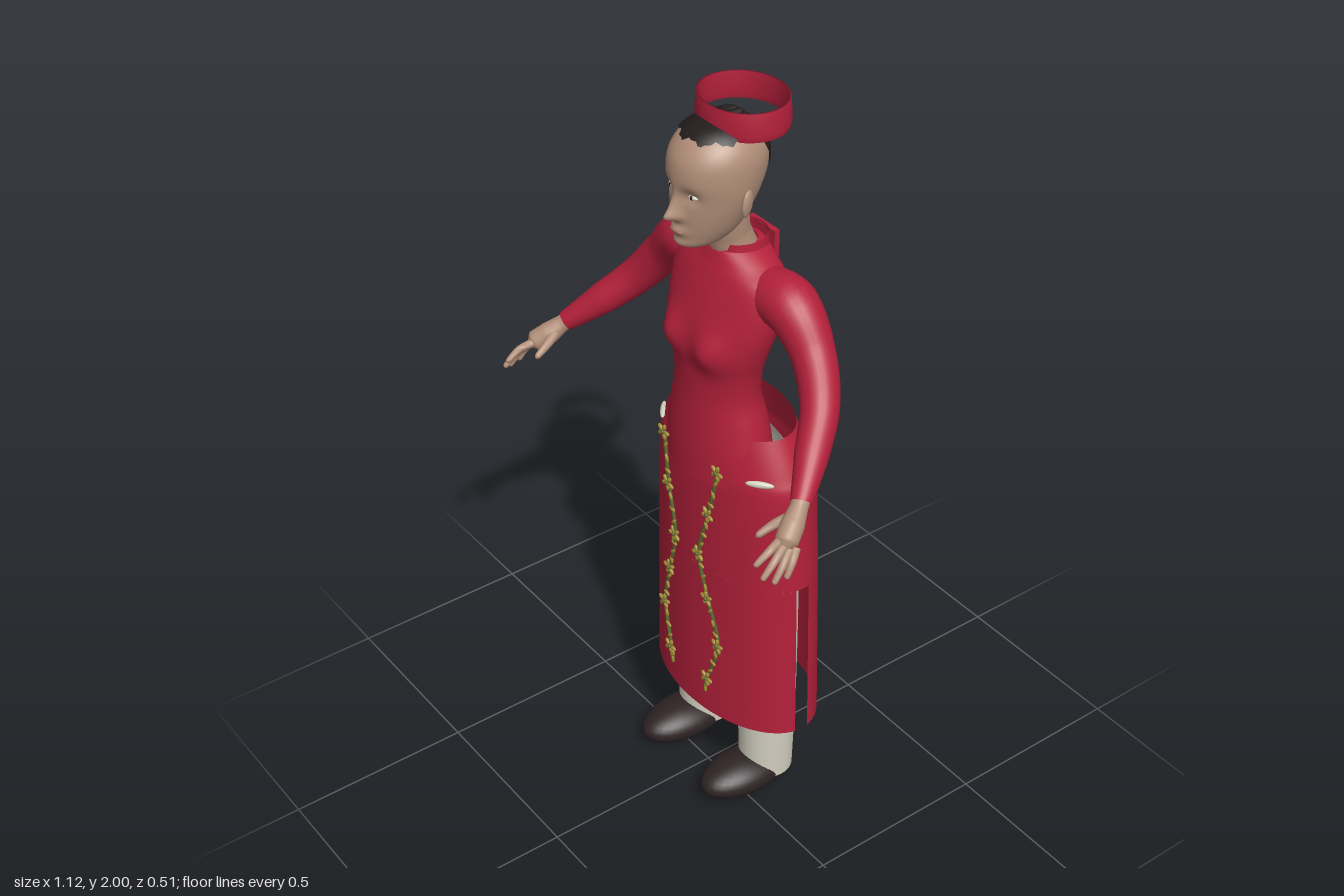
import * as THREE from 'three';

const paint = (name, color, side = THREE.FrontSide) => {
  const m = new THREE.MeshStandardMaterial({ color, side });
  m.name = name;
  return m;
};

// Surface grid: f(u, v) -> Vector3, u runs counter-clockwise seen from above, v runs up
function grid(nu, nv, f, closed = true) {
  const pos = [], idx = [], cols = closed ? nu : nu + 1;
  for (let j = 0; j <= nv; j++)
    for (let i = 0; i < cols; i++) pos.push(...f(i / nu, j / nv).toArray());
  for (let j = 0; j < nv; j++)
    for (let i = 0; i < nu; i++) {
      const a = j * cols + i, b = j * cols + (i + 1) % cols;
      idx.push(a, b, b + cols, a, b + cols, a + cols);
    }
  const g = new THREE.BufferGeometry();
  g.setAttribute('position', new THREE.Float32BufferAttribute(pos, 3));
  g.setIndex(idx);
  g.computeVertexNormals();
  return g;
}

// Point on a stack of oval sections [y, half width, front z, back z]
function ovalPoint(rows, t, a, grow = 0) {
  const n = rows.length - 1, i = Math.min(Math.floor(t), n - 1), k = t - i;
  const at = (c) => {
    const p = [i - 1, i, i + 1, i + 2].map((q) => rows[THREE.MathUtils.clamp(q, 0, n)][c]);
    const m0 = (p[2] - p[0]) / 2, m1 = (p[3] - p[1]) / 2, d = p[2] - p[1];
    return p[1] + m0 * k + (3 * d - 2 * m0 - m1) * k * k + (m0 + m1 - 2 * d) * k ** 3;
  };
  const zf = at(2), zb = at(3);
  return new THREE.Vector3((at(1) + grow) * Math.sin(a), at(0) + grow,
    (zf + zb) / 2 + ((zf - zb) / 2 + grow) * Math.cos(a));
}
const loft = (rows, nu = 40, nv = 30, bump = null) => grid(nu, nv, (u, v) => {
  const p = ovalPoint(rows, v * (rows.length - 1), u * Math.PI * 2);
  if (bump) p.z += bump(p, Math.max(0, Math.cos(u * Math.PI * 2)));
  return p;
});

// Round limb through points [x, y, z, radius]
function limb(pts, nu = 16, nv = 24) {
  const curve = new THREE.CatmullRomCurve3(pts.map((p) => new THREE.Vector3(p[0], p[1], p[2])));
  const ref = new THREE.Vector3(0, 0, 1);
  return grid(nu, nv, (u, v) => {
    const k = v * (pts.length - 1), i = Math.min(Math.floor(k), pts.length - 2);
    const r = THREE.MathUtils.lerp(pts[i][3], pts[i + 1][3], k - i), a = u * Math.PI * 2;
    const T = curve.getTangent(v), N = ref.clone().cross(T).normalize(), B = T.clone().cross(N);
    return curve.getPoint(v).addScaledVector(N, r * Math.cos(a)).addScaledVector(B, r * Math.sin(a));
  });
}
const gauss = (d, s) => Math.exp(-(d * d) / (s * s));

const HEAD = [[1.66, 0.012, 0.06, 0.02], [1.672, 0.045, 0.084, -0.03], [1.7, 0.068, 0.088, -0.075],
  [1.74, 0.086, 0.09, -0.1], [1.79, 0.101, 0.09, -0.125], [1.84, 0.107, 0.098, -0.145],
  [1.885, 0.105, 0.092, -0.146], [1.92, 0.09, 0.07, -0.13], [1.945, 0.062, 0.038, -0.1],
  [1.958, 0.028, 0.0, -0.06], [1.96, 0.001, -0.029, -0.031]];
const TORSO = [[1.02, 0.165, 0.073, -0.14], [1.1, 0.164, 0.071, -0.14], [1.18, 0.148, 0.065, -0.13],
  [1.25, 0.132, 0.06, -0.115], [1.32, 0.138, 0.06, -0.115], [1.38, 0.155, 0.064, -0.125],
  [1.45, 0.175, 0.052, -0.14], [1.52, 0.185, 0.03, -0.155], [1.57, 0.175, 0.01, -0.16],
  [1.6, 0.125, -0.003, -0.158], [1.625, 0.078, -0.012, -0.15], [1.635, 0.055, -0.02, -0.13]];
const SKIRT_TOP = [[0.74, 0.271, 0.06, -0.246], [0.9, 0.264, 0.058, -0.241], [1.02, 0.258, 0.054, -0.236],
  [1.07, 0.238, 0.047, -0.225], [1.16, 0.19, 0.033, -0.2]];
const SKIRT_LOW = [[0.27, 0.28, 0.065, -0.256], SKIRT_TOP[0]];

export function createModel() {
  const model = new THREE.Group();
  const red = paint('red cloth', 0xb3203a, THREE.DoubleSide), skin = paint('skin', 0xb18e78);
  const hair = paint('dark hair', 0x221c1b, THREE.DoubleSide), leather = paint('shoe leather', 0x2e2324);
  const cream = paint('cream cloth', 0xd3cfc0, THREE.DoubleSide), gold = paint('gold thread', 0xa08a35);
  const green = paint('green thread', 0x5c6430), lip = paint('lips', 0x9a6a5e);
  const add = (name, geo, mat, pos = [0, 0, 0], scale = [1, 1, 1], rot = [0, 0, 0]) => {
    const m = new THREE.Mesh(geo, mat);
    m.name = name;
    m.position.set(...pos);
    m.scale.set(...scale);
    m.rotation.set(...rot);
    model.add(m);
    return m;
  };
  const ball = new THREE.SphereGeometry(1, 24, 16);

  // Head with nose, brow, eye sockets and lips raised from the surface
  add('head', loft(HEAD, 96, 90, (p, front) => front * (
    0.03 * gauss(p.x, 0.014) * (p.y < 1.752 ? gauss(p.y - 1.752, 0.013) : gauss(p.y - 1.752, 0.045))
    + 0.008 * gauss(p.x, 0.024) * gauss(p.y - 1.752, 0.012)
    - 0.012 * gauss(Math.abs(p.x) - 0.04, 0.022) * gauss(p.y - 1.806, 0.018)
    + 0.011 * gauss(p.x, 0.026) * gauss(p.y - 1.711, 0.012)
    + 0.005 * gauss(p.x, 0.03) * gauss(p.y - 1.677, 0.012))), skin);
  add('neck', limb([[0, 1.59, -0.08, 0.06], [0, 1.66, -0.058, 0.053], [0, 1.76, -0.04, 0.06]]), skin);
  add('mouth', ball, lip, [0, 1.71, 0.093], [0.022, 0.006, 0.007]);

  // Hair cap with a ragged hairline, lowest at the back
  add('hairCap', grid(72, 12, (u, v) => {
    const a = u * Math.PI * 2, back = THREE.MathUtils.smoothstep(-Math.cos(a), 0.45, 0.75);
    const start = 7.35 - 2.3 * back + 0.14 * Math.sin(a * 9) + 0.08 * Math.sin(a * 23);
    return ovalPoint(HEAD, THREE.MathUtils.lerp(start, 10, v), a, 0.004);
  }), hair);
  for (let i = -3; i <= 3; i++)
    add('hairRoll', new THREE.CapsuleGeometry(0.011, 0.06, 4, 10), hair,
      [i * 0.022, 1.955 - 0.0025 * i * i, -0.055], [1, 1, 1], [Math.PI / 2, 0, 0]);

  // Open ring hat
  add('hatBand', new THREE.LatheGeometry([[0.116, 1.93], [0.12, 1.945], [0.117, 2], [0.11, 2], [0.112, 1.945],
    [0.116, 1.93]].map((p) => new THREE.Vector2(...p)), 48), red, [0, 0, -0.098], [1, 1, 0.88]);

  // Bodice, collar and back flap
  add('bodice', loft(TORSO, 72, 60, (p, front) =>
    front * 0.027 * gauss(Math.abs(p.x) - 0.078, 0.045) * gauss(p.y - 1.395, 0.05)), red);
  add('collar', loft([[1.58, 0.085, -0.002, -0.165], [1.615, 0.075, -0.012, -0.162],
    [1.648, 0.07, -0.015, -0.158]], 40, 8), red);
  add('collarFlap', new THREE.BoxGeometry(0.1, 0.07, 0.014), red, [0, 1.608, -0.163]);

  // Skirt: closed above, front and back panels with side slits below
  add('skirtUpper', loft(SKIRT_TOP, 72, 24), red);
  for (const [name, mid] of [['skirtFrontPanel', 0], ['skirtBackPanel', Math.PI]])
    add(name, grid(40, 6, (u, v) =>
      ovalPoint(SKIRT_LOW, v, mid + (u * 2 - 1) * (Math.PI / 2 - 0.125)), false), red);

  // Trouser seat under the skirt
  add('trouserSeat', loft([[0.78, 0.17, 0.01, -0.18], [0.9, 0.205, 0.025, -0.2], [1.03, 0.2, 0.02, -0.19],
    [1.08, 0.17, 0.01, -0.17]], 40, 12), cream);

  // Shoe: ball squashed lower toward the heel
  const shoeGeo = new THREE.SphereGeometry(1, 32, 20), sp = shoeGeo.attributes.position;
  for (let i = 0; i < sp.count; i++) {
    const z = sp.getZ(i), k = THREE.MathUtils.smoothstep(-z, -0.4, 1);
    sp.setXYZ(i, sp.getX(i) * (1 - 0.12 * k), sp.getY(i) * (1 - 0.25 * k) - 0.06 * k, z);
  }
  shoeGeo.computeVertexNormals();

  for (const s of [1, -1]) {
    const side = s > 0 ? 'left' : 'right';
    const flip = (pts) => pts.map(([x, ...rest]) => [s * x, ...rest]);

    // Face details
    add(side + 'Eye', ball, cream, [s * 0.04, 1.806, 0.07], [0.015, 0.006, 0.01], [0, s * 0.3, 0]);
    add(side + 'Iris', ball, hair, [s * 0.04, 1.806, 0.077], [0.005, 0.005, 0.004]);
    add(side + 'Ear', ball, skin, [s * 0.106, 1.785, -0.03], [0.009, 0.034, 0.019], [-0.15, s * 0.35, 0]);

    // Sleeve
    add(side + 'Sleeve', limb(flip([[0.1, 1.53, -0.088, 0.07], [0.2, 1.537, -0.088, 0.069],
      [0.285, 1.46, -0.085, 0.054], [0.36, 1.365, -0.05, 0.047], [0.42, 1.29, 0.02, 0.041],
      [0.478, 1.222, 0.095, 0.026]]), 24, 40), red);

    // Hand: wrist, palm, four fingers and a thumb
    add(side + 'Palm', limb(flip([[0.465, 1.235, 0.08, 0.022], [0.482, 1.215, 0.105, 0.022],
      [0.498, 1.19, 0.135, 0.029], [0.516, 1.168, 0.166, 0.028], [0.526, 1.155, 0.183, 0.004]])), skin);
    const tips = [[0.508, 1.172, 0.18, 0.515, 1.14, 0.252], [0.521, 1.163, 0.178, 0.536, 1.112, 0.248],
      [0.53, 1.155, 0.168, 0.55, 1.1, 0.226], [0.535, 1.155, 0.153, 0.555, 1.104, 0.195]];
    for (const [x, y, z, X, Y, Z] of tips)
      add(side + 'Finger', limb(flip([[x, y, z, 0.011], [(x + X) / 2 + 0.004, (y + Y) / 2 + 0.006, (z + Z) / 2, 0.01],
        [X, Y, Z, 0.007], [X, Y - 0.004, Z + 0.003, 0.001]]), 10, 12), skin);
    add(side + 'Thumb', limb(flip([[0.485, 1.2, 0.12, 0.016], [0.466, 1.185, 0.16, 0.012],
      [0.456, 1.165, 0.2, 0.008], [0.455, 1.161, 0.206, 0.001]]), 10, 12), skin);

    // Trouser leg and shoe
    add(side + 'TrouserLeg', limb([[s * 0.135, 0.05, -0.092, 0.072], [s * 0.135, 0.27, -0.092, 0.077],
      [s * 0.13, 0.6, -0.09, 0.082], [s * 0.11, 0.95, -0.09, 0.09]], 32, 20), cream);
    add(side + 'Shoe', shoeGeo, leather, [s * 0.135, 0.055, -0.033], [0.077, 0.055, 0.15]);

    // Trouser cloth showing through at the hips
    for (const f of [1, -1])
      add(side + 'HipPatch', ball, cream, [s * 0.199, 1.06, -0.089 + f * 0.083], [0.036, 0.009, 0.008],
        [0, f > 0 ? s * 0.7 : Math.PI - s * 0.7, 0]);

    // Embroidered vine with flowers and leaves
    const vine = [[0.11, 1.07], [0.083, 0.93], [0.05, 0.79], [0.08, 0.66], [0.115, 0.52], [0.08, 0.39], [0.07, 0.34]]
      .map(([x, y]) => {
        const c = -0.093, z = c + 0.157 * Math.sqrt(1 - (x / 0.27) ** 2);
        return [s * x, y, z + (y > 1 ? 0.004 : 0.006), 0.005];
      });
    add(side + 'Vine', limb(vine, 8, 60), green);
    vine.slice(0, 6).forEach(([x, y, z], n) => {
      for (let i = 0; i < 5; i++) {
        const a = i * Math.PI * 0.4 + n;
        add(side + 'Petal', ball, gold, [x + 0.013 * Math.cos(a), y + 0.013 * Math.sin(a), z + 0.004],
          [0.011, 0.006, 0.005], [0, 0, a]);
      }
      add(side + 'FlowerCentre', ball, green, [x, y, z + 0.007], [0.006, 0.006, 0.005]);
      const [nx, ny, nz] = vine[n + 1];
      for (const k of [0.25, 0.5, 0.75])
        add(side + 'Leaf', ball, gold, [x + (nx - x) * k + 0.004, y + (ny - y) * k, z + (nz - z) * k + 0.003],
          [0.012, 0.005, 0.004], [0, 0, k * 4 + n]);
    });
  }
  return model;
}
